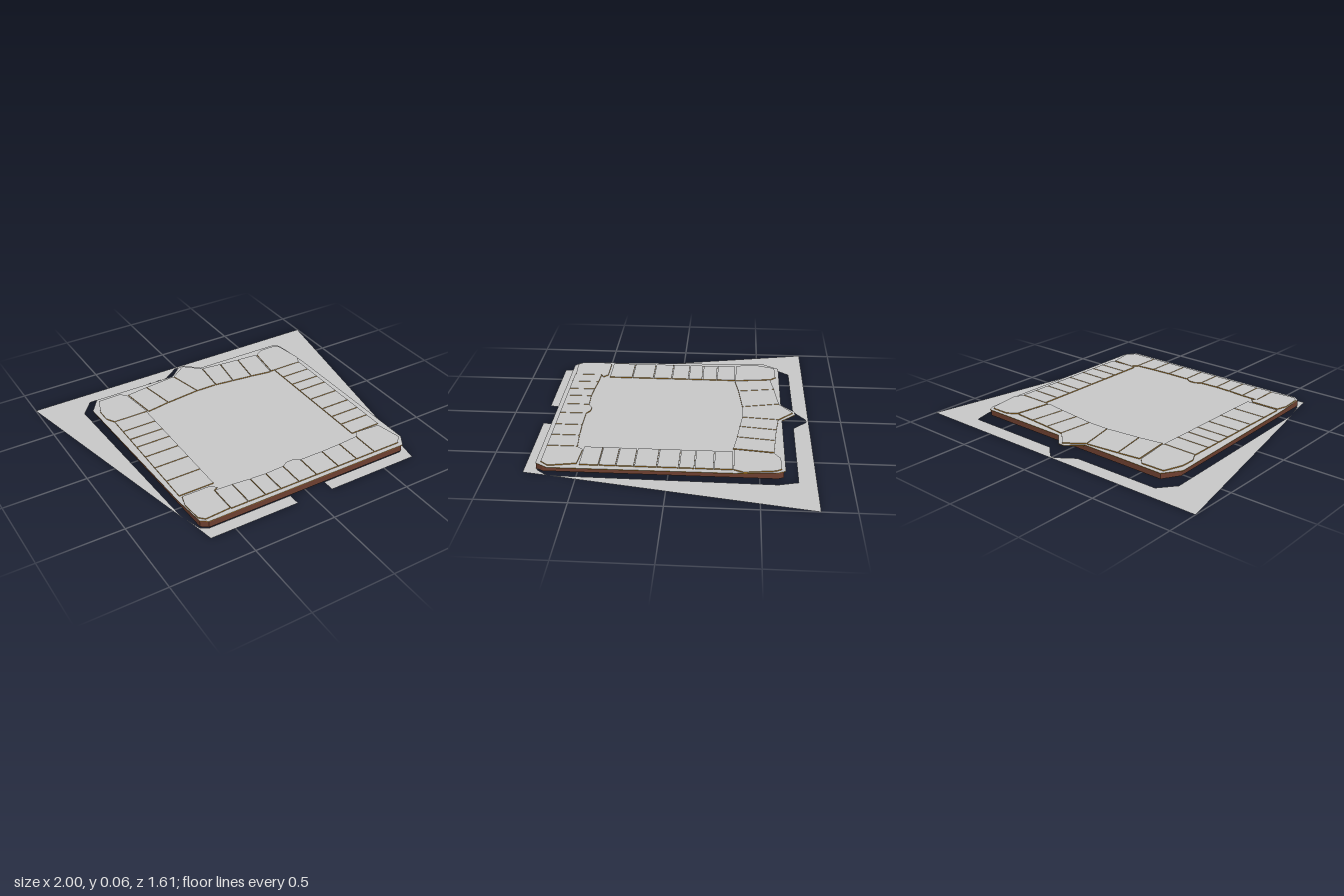
import * as THREE from 'three';

const stoneGrey = new THREE.MeshStandardMaterial({ name: 'stoneGrey', color: 0xc8c8c8 });
const groundGrey = new THREE.MeshStandardMaterial({ name: 'groundGrey', color: 0xc8c8c8, side: THREE.DoubleSide });
const earthBrown = new THREE.MeshStandardMaterial({ name: 'earthBrown', color: 0x6e4030 });
const edgeGold = new THREE.MeshStandardMaterial({ name: 'edgeGold', color: 0xb9832a });

// Plan outlines are lists of [x, z]
const planShape = (pts) => new THREE.Shape(pts.map(([x, z]) => new THREE.Vector2(x, -z)));

// Upright slab between two heights: own material for the top, another for sides and underside
function slab(name, pts, y0, y1, topMat, sideMat) {
  const geo = new THREE.ExtrudeGeometry(planShape(pts), { depth: y1 - y0, bevelEnabled: false });
  const caps = geo.groups[0].count, total = geo.attributes.position.count;
  geo.clearGroups();
  geo.addGroup(0, caps / 2, 1);
  geo.addGroup(caps / 2, caps / 2, 0);
  geo.addGroup(caps, total - caps, 1);
  geo.rotateX(-Math.PI / 2).translate(0, y0, 0);
  const mesh = new THREE.Mesh(geo, [topMat, sideMat]);
  mesh.name = name;
  return mesh;
}

// Pull an outline slightly towards its middle so neighbours leave a joint
function inset(pts, d) {
  const cx = pts.reduce((s, p) => s + p[0], 0) / pts.length;
  const cz = pts.reduce((s, p) => s + p[1], 0) / pts.length;
  return pts.map(([x, z]) => [x - Math.sign(x - cx) * d, z - Math.sign(z - cz) * d]);
}

export function createModel() {
  const model = new THREE.Group();
  model.name = 'pavedTerrace';

  // Ground sheet: a back horseshoe and two front strips
  const grounds = {
    backGround: [[-1, -0.8], [0, -0.805], [1, -0.81], [0.735, 0.66], [0.75, -0.6], [0.72, -0.71],
      [0.1, -0.71], [0.015, -0.79], [-0.015, -0.79], [-0.12, -0.715], [-0.67, -0.71], [-0.75, -0.61], [-0.7, 0.58]],
    frontGroundRight: [[-0.69, 0.6], [-0.66, 0.7], [-0.62, 0.725], [-0.1, 0.725], [-0.1, 0.8], [-0.65, 0.8]],
    frontGroundLeft: [[0.13, 0.725], [0.68, 0.725], [0.735, 0.66], [0.71, 0.8], [0.13, 0.8]],
  };
  for (const [name, pts] of Object.entries(grounds)) {
    const mesh = new THREE.Mesh(new THREE.ShapeGeometry(planShape(pts)).rotateX(-Math.PI / 2), groundGrey);
    mesh.name = name;
    model.add(mesh);
  }

  // Brown base
  model.add(slab('base', [[-0.64, -0.63], [0.69, -0.63], [0.705, -0.6], [0.705, 0.69], [0.68, 0.73],
    [-0.62, 0.73], [-0.66, 0.7], [-0.7, -0.53]], 0.01, 0.047, earthBrown, earthBrown));

  // Thin paved deck with a pointed spout at the back
  model.add(slab('deck', [[-0.65, -0.64], [-0.11, -0.64], [-0.02, -0.72], [0.02, -0.72], [0.1, -0.64],
    [0.69, -0.64], [0.71, -0.6], [0.73, -0.36], [0.735, 0.66], [0.69, 0.73], [-0.62, 0.73],
    [-0.66, 0.7], [-0.68, 0.5], [-0.72, -0.54]], 0.047, 0.051, stoneGrey, edgeGold));

  // Border stones
  const stones = new THREE.Group();
  stones.name = 'borderStones';
  model.add(stones);
  const addStone = (name, pts) =>
    stones.add(slab(name, inset(pts, 0.0025), 0.051, 0.057, stoneGrey, edgeGold));

  // Side rows
  const sideRow = (name, x0, x1, zs) => {
    for (let i = 0; i < zs.length - 1; i++)
      addStone(name, [[x0, zs[i]], [x1, zs[i]], [x1, zs[i + 1]], [x0, zs[i + 1]]]);
  };
  sideRow('rightSideStone', -0.66, -0.44, [-0.355, -0.235, -0.14, -0.05, 0.06, 0.18, 0.32, 0.47]);
  sideRow('leftSideStone', 0.5, 0.7, [-0.355, -0.25, -0.145, -0.06, 0.06, 0.185, 0.285, 0.38, 0.49]);

  // Front row: joints as [x, inner z]
  const front = [[-0.47, 0.525], [-0.36, 0.53], [-0.25, 0.54], [-0.15, 0.545], [-0.03, 0.54],
    [0.09, 0.54], [0.24, 0.54], [0.37, 0.535], [0.5, 0.525]];
  for (let i = 0; i < front.length - 1; i++) {
    const [a, b] = [front[i], front[i + 1]];
    const crown = i === 4 ? [[0.005, 0.518], [0.055, 0.518]] : [];
    addStone('frontStone', [a, ...crown, b, [b[0], 0.705], [a[0], 0.705]]);
  }

  // Back rows: joints as [outer x, outer z, inner x, inner z]
  const backRow = (joints) => {
    for (let i = 0; i < joints.length - 1; i++) {
      const [a, b] = [joints[i], joints[i + 1]];
      addStone('backStone', [[a[0], a[1]], [b[0], b[1]], [b[2], b[3]], [a[2], a[3]]]);
    }
  };
  backRow([[-0.46, -0.585], [-0.32, -0.605], [-0.11, -0.63]].map(([x, z], i) =>
    [x, z, [-0.43, -0.28, -0.06][i], [-0.35, -0.375, -0.4][i]]));
  backRow([[0.1, -0.62, 0.08, -0.4], [0.23, -0.605, 0.2, -0.385],
    [0.36, -0.595, 0.33, -0.37], [0.5, -0.585, 0.47, -0.35]]);
  addStone('spoutStone', [[-0.11, -0.63], [0, -0.71], [0.1, -0.62], [0.08, -0.4], [-0.06, -0.4]]);

  // Corner stones
  addStone('backRightCorner', [[-0.65, -0.615], [-0.5, -0.62], [-0.465, -0.585], [-0.435, -0.355],
    [-0.66, -0.355], [-0.69, -0.41], [-0.69, -0.5]]);
  addStone('backLeftCorner', [[0.505, -0.585], [0.56, -0.62], [0.68, -0.62], [0.7, -0.59],
    [0.725, -0.41], [0.7, -0.355], [0.475, -0.355]]);
  addStone('frontRightCorner', [[-0.65, 0.48], [-0.47, 0.48], [-0.44, 0.51], [-0.47, 0.525], [-0.47, 0.7],
    [-0.63, 0.71], [-0.66, 0.68], [-0.67, 0.55]]);
  addStone('frontLeftCorner', [[0.5, 0.525], [0.53, 0.49], [0.69, 0.5], [0.72, 0.66], [0.68, 0.705], [0.5, 0.705]]);

  return model;
}
